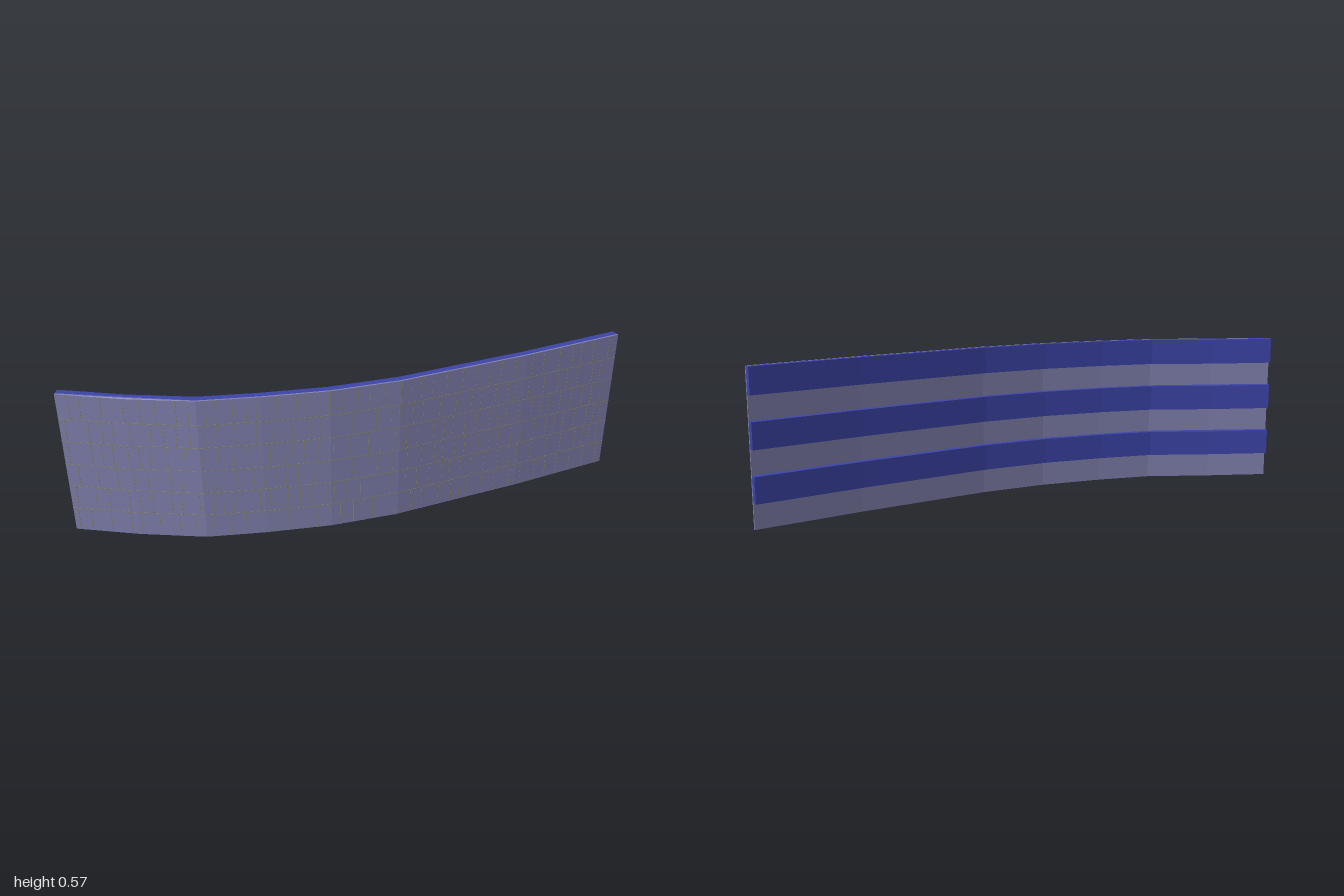
import * as THREE from 'three';

// Front line of the wall in plan: x, z, and a slight sag in height
const PATH = [
  [-1, -0.21, 0], [-0.8, -0.085, -0.003], [-0.585, 0.038, -0.001], [-0.38, 0.106, 0],
  [-0.15, 0.168, 0], [0.1, 0.207, 0], [0.6, 0.23, 0], [1, 0.234, 0],
];
const ROWS = [0.003, 0.098, 0.193, 0.285, 0.38, 0.47, 0.566];

// Unit normal of segment i, pointing to the front
function segmentNormal(i) {
  const [a, b] = [PATH[i], PATH[i + 1]];
  return new THREE.Vector2(a[1] - b[1], b[0] - a[0]).normalize();
}

// Path point pushed along the mitred normal by d
function offsetPoint(i, d) {
  const n0 = segmentNormal(Math.max(i - 1, 0));
  const n1 = segmentNormal(Math.min(i, PATH.length - 2));
  const m = n0.clone().add(n1).normalize();
  const k = d / m.dot(n1);
  return new THREE.Vector2(PATH[i][0] + m.x * k, PATH[i][1] + m.y * k);
}

// Segment index and fraction for a given x
function locate(x) {
  let i = 0;
  while (i < PATH.length - 2 && x > PATH[i + 1][0]) i++;
  const t = (x - PATH[i][0]) / (PATH[i + 1][0] - PATH[i][0]);
  return { i, t: THREE.MathUtils.clamp(t, 0, 1) };
}
function sag(x) {
  const { i, t } = locate(x);
  return THREE.MathUtils.lerp(PATH[i][2], PATH[i + 1][2], t);
}

// Curved slab that follows the path, between two offsets and two heights
function band(back, front, y0, y1) {
  const outline = [];
  PATH.forEach((_, i) => outline.push(offsetPoint(i, front)));
  for (let i = PATH.length - 1; i >= 0; i--) outline.push(offsetPoint(i, back));
  const shape = new THREE.Shape(outline.map(p => new THREE.Vector2(p.x, -p.y)));
  const geo = new THREE.ExtrudeGeometry(shape, { depth: y1 - y0, bevelEnabled: false });
  geo.rotateX(-Math.PI / 2).translate(0, y0, 0);
  const pos = geo.attributes.position;
  for (let v = 0; v < pos.count; v++) pos.setY(v, pos.getY(v) + sag(pos.getX(v)));
  geo.computeVertexNormals();
  return geo;
}

function seeded(seed) {
  return () => (seed = (seed * 16807) % 2147483647) / 2147483647;
}

export function createModel() {
  const model = new THREE.Group();
  const wallMat = new THREE.MeshStandardMaterial({ color: 0x8080ae });
  const jointMat = new THREE.MeshStandardMaterial({ color: 0x85857a });
  const strapMat = new THREE.MeshStandardMaterial({ color: 0x3c44a8 });
  const add = (parent, name, geo, mat) => {
    const mesh = new THREE.Mesh(geo, mat);
    mesh.name = name;
    parent.add(mesh);
    return mesh;
  };

  // Thin curved wall
  add(model, 'wallPanel', band(-0.007, 0, ROWS[0], ROWS[6]), wallMat);

  // Three straps on the back, behind every second row
  for (const r of [1, 3, 5]) {
    add(model, 'backStrap', band(-0.032, -0.0068, ROWS[r], ROWS[r + 1]), strapMat);
  }

  // Raised joints between the rows
  const joints = new THREE.Group();
  joints.name = 'joints';
  model.add(joints);
  for (let r = 1; r < 6; r++) {
    add(joints, 'rowJoint', band(-0.001, 0.001, ROWS[r] - 0.0015, ROWS[r] + 0.0015), jointMat);
  }

  // Staggered upright joints with uneven spacing
  const random = seeded(17);
  for (let r = 0; r < 6; r++) {
    const h = ROWS[r + 1] - ROWS[r];
    const upright = new THREE.BoxGeometry(0.003, h, 0.002);
    for (let x = -0.985 + 0.03 * random(); x < 0.99; x += 0.03 + 0.04 * random()) {
      const { i, t } = locate(x);
      const n = segmentNormal(i);
      const mesh = add(joints, 'uprightJoint', upright, jointMat);
      const z = THREE.MathUtils.lerp(PATH[i][1], PATH[i + 1][1], t);
      mesh.position.set(x, ROWS[r] + h / 2 + sag(x), z);
      mesh.rotation.y = Math.atan2(n.x, n.y);
    }
  }
  return model;
}
